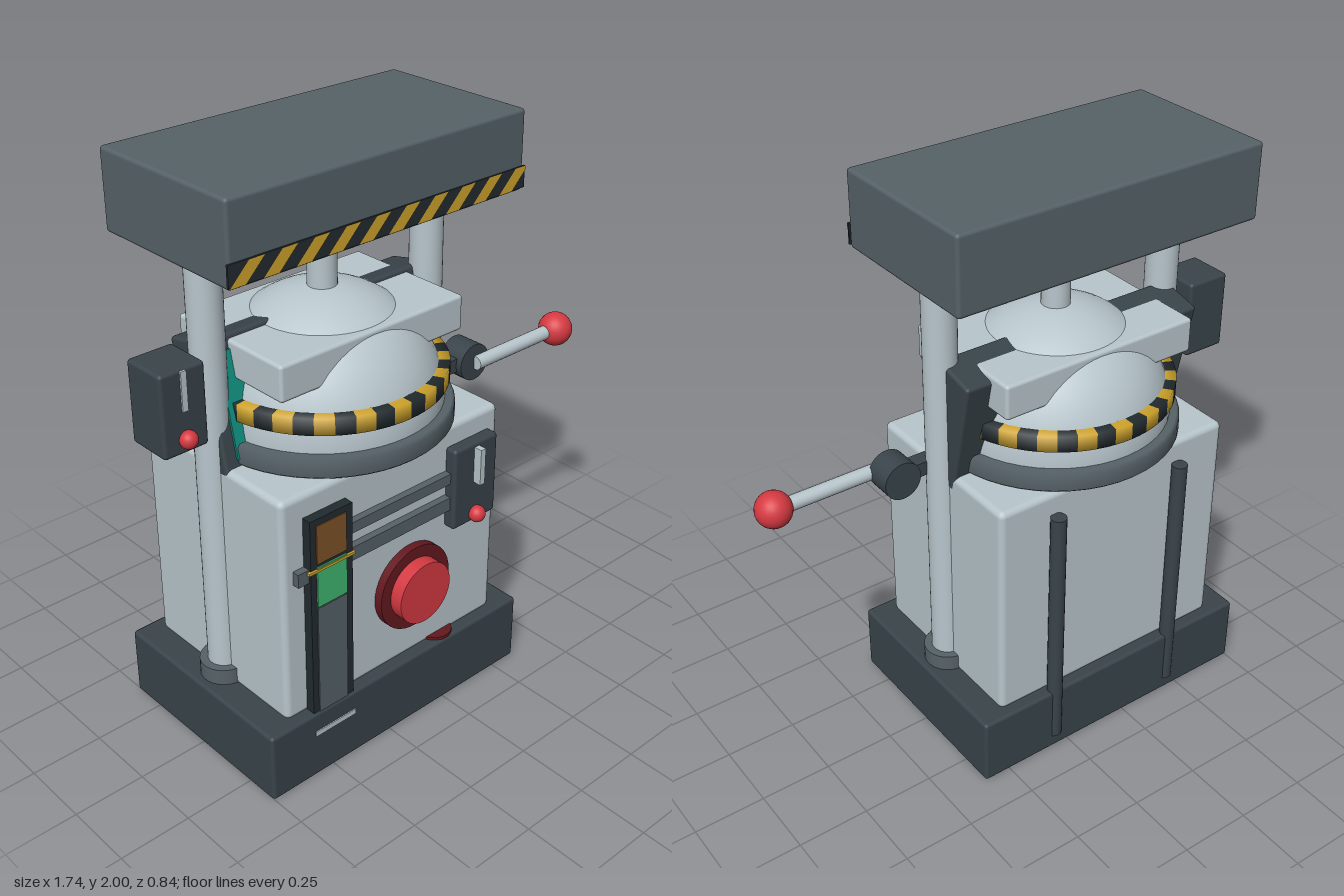
import * as THREE from 'three';
import { RoundedBoxGeometry } from 'three/addons/geometries/RoundedBoxGeometry.js';

const mat = (name, color, side = THREE.FrontSide) => {
  const m = new THREE.MeshStandardMaterial({ color, side });
  m.name = name;
  return m;
};

export function createModel() {
  const root = new THREE.Group();
  root.name = 'pressMachine';
  const light = mat('paleSteel', 0xb8c6cc);
  const grey = mat('midGrey', 0x566268);
  const dark = mat('darkSlate', 0x39444a);
  const black = mat('stripeBlack', 0x222b2f, THREE.DoubleSide);
  const yellow = mat('hazardYellow', 0xd0a52c, THREE.DoubleSide);
  const red = mat('red', 0xd63a42);
  const darkRed = mat('darkRed', 0x64191f);
  const green = mat('green', 0x40b870);
  const brown = mat('brown', 0x7d5228);
  const teal = mat('teal', 0x109080);

  const add = (name, geo, m, x = 0, y = 0, z = 0, parent = root) => {
    const mesh = new THREE.Mesh(geo, m);
    mesh.name = name;
    mesh.position.set(x, y, z);
    parent.add(mesh);
    return mesh;
  };
  // Box given by its limits, with an optional rounded edge
  const box = (name, m, x0, x1, y0, y1, z0, z1, r = 0) => {
    const s = [x1 - x0, y1 - y0, z1 - z0];
    const geo = r ? new RoundedBoxGeometry(...s, 2, r) : new THREE.BoxGeometry(...s);
    return add(name, geo, m, (x0 + x1) / 2, (y0 + y1) / 2, (z0 + z1) / 2);
  };
  // Upright cylinder between two heights
  const post = (name, m, r, x, y0, y1, z, seg = 32) =>
    add(name, new THREE.CylinderGeometry(r, r, y1 - y0, seg), m, x, (y0 + y1) / 2, z);
  // Cylinder facing the front
  const disc = (name, m, r, x, y, z0, z1) => {
    const d = add(name, new THREE.CylinderGeometry(r, r, z1 - z0, 40), m, x, y, (z0 + z1) / 2);
    d.rotation.x = Math.PI / 2;
    return d;
  };
  const ball = (name, m, r, x, y, z) => add(name, new THREE.SphereGeometry(r, 24, 16), m, x, y, z);

  const cx = -0.2;

  // Main structure
  box('base', dark, -0.755, 0.35, 0, 0.25, -0.375, 0.375, 0.012);
  box('body', light, -0.66, 0.258, 0.24, 1.05, -0.335, 0.335, 0.022);
  box('topBlock', grey, -0.77, 0.37, 1.74, 2, -0.29, 0.29, 0.012);
  for (const s of [-1, 1]) {
    post('column', light, 0.056, cx + s * 0.445, 0.25, 1.76, 0);
    post('columnCollar', grey, 0.083, cx + s * 0.445, 0.25, 0.307, 0);
  }
  post('pressRod', light, 0.048, cx, 1.45, 1.76, 0);

  // Hazard strip on the top block
  const sx0 = -0.775, sx1 = 0.372, sy0 = 1.75, sy1 = 1.82;
  box('stripBacking', black, sx0, sx1, sy0, sy1, 0.288, 0.295);
  const lim = (x) => Math.min(sx1, Math.max(sx0, x));
  for (let i = 0; i < 10; i++) {
    const x = sx0 + i * 0.1147, w = 0.057, lean = 0.07;
    const pts = [[x, sy0], [lim(x + w), sy0]];
    const over = (x + w + lean - sx1) / lean;
    if (over > 0) pts.push([sx1, sy1 - over * (sy1 - sy0)]);
    pts.push([lim(x + w + lean), sy1], [lim(x + lean), sy1]);
    const shape = new THREE.Shape(pts.map((p) => new THREE.Vector2(...p)));
    add('diagonalStripe', new THREE.ShapeGeometry(shape), yellow, 0, 0, 0.298);
  }

  // Dome chamber with its flange, clamp and checkered band
  add('dome', new THREE.SphereGeometry(0.385, 48, 20, 0, Math.PI * 2, 0, Math.PI / 2), light, cx, 1.12, 0);
  const flange = [[0, 1.05], [0.41, 1.05], [0.418, 1.058], [0.418, 1.108], [0.408, 1.12], [0, 1.12]];
  add('flange', new THREE.LatheGeometry(flange.map((p) => new THREE.Vector2(...p)), 48), grey, cx, 0, 0);
  box('clamp', light, -0.57, 0.17, 1.31, 1.432, -0.245, 0.245, 0.012);
  const count = 40;
  for (let i = 0; i < count; i++) {
    const step = (Math.PI * 2) / count;
    const profile = [[0.36, 1.19], [0.4, 1.19], [0.4, 1.247], [0.36, 1.247]];
    const seg = new THREE.LatheGeometry(profile.map((p) => new THREE.Vector2(...p)), 2, i * step, step);
    add('bandSegment', seg, i % 2 ? yellow : black, cx, 0, 0);
  }

  // Leaning screen housing through the dome
  const housing = new THREE.Group();
  housing.name = 'screenHousing';
  housing.position.set(cx, 1.22, -0.04);
  housing.rotation.x = -0.22;
  root.add(housing);
  add('housing', new RoundedBoxGeometry(0.92, 0.43, 0.165, 2, 0.012), dark, 0, 0, 0, housing);
  add('screen', new THREE.BoxGeometry(0.83, 0.34, 0.009), teal, 0, 0, 0.086, housing);

  // Lever on the left side
  disc('leverPivot', dark, 0.066, 0.402, 1.055, -0.01, 0.088);
  box('leverMount', dark, 0.25, 0.38, 1.03, 1.08, 0.01, 0.065);
  const lever = add('leverRod', new THREE.CylinderGeometry(0.025, 0.025, 0.4, 20), light, 0.6, 1.055, 0.095);
  lever.rotation.z = Math.PI / 2;
  ball('leverKnob', red, 0.061, 0.805, 1.055, 0.098);

  // Control boxes: the side pendant and the front panel
  box('pendant', dark, -0.87, -0.71, 1.165, 1.44, -0.085, 0.077, 0.012);
  box('pendantBracket', dark, -0.715, -0.66, 1.28, 1.33, -0.03, 0.03);
  box('pendantSlot', light, -0.8, -0.78, 1.305, 1.435, 0.075, 0.083);
  ball('pendantButton', red, 0.029, -0.79, 1.215, 0.088);
  box('controlBox', dark, 0.02, 0.215, 0.678, 0.975, 0.33, 0.378, 0.012);
  box('controlHandle', light, 0.107, 0.128, 0.83, 0.96, 0.376, 0.408);
  ball('controlButton', red, 0.029, 0.117, 0.71, 0.39);

  // Rails and gauge on the front
  box('upperRail', grey, -0.45, 0.04, 0.85, 0.888, 0.33, 0.36);
  box('lowerRail', grey, -0.62, 0.04, 0.75, 0.798, 0.33, 0.36);
  box('gaugeFrame', black, -0.578, -0.41, 0.25, 0.97, 0.33, 0.368);
  box('gaugeTrack', grey, -0.555, -0.437, 0.25, 0.65, 0.366, 0.372);
  box('gaugeGreen', green, -0.555, -0.437, 0.655, 0.8, 0.366, 0.373);
  box('gaugeBrown', brown, -0.555, -0.437, 0.812, 0.948, 0.366, 0.372);
  box('gaugePointer', yellow, -0.59, -0.405, 0.786, 0.795, 0.364, 0.376);
  box('baseLabel', light, -0.578, -0.41, 0.163, 0.182, 0.372, 0.379);

  // Large push button and the small foot disc
  disc('buttonRing', darkRed, 0.152, -0.135, 0.525, 0.33, 0.365);
  disc('buttonCap', red, 0.11, -0.135, 0.525, 0.36, 0.412);
  post('footDisc', darkRed, 0.062, 0.008, 0.248, 0.26, 0.31);

  // Pipes down the back
  for (const x of [-0.455, 0.05]) post('backPipe', dark, 0.027, x, 0.05, 0.97, -0.358, 20);

  return root;
}
